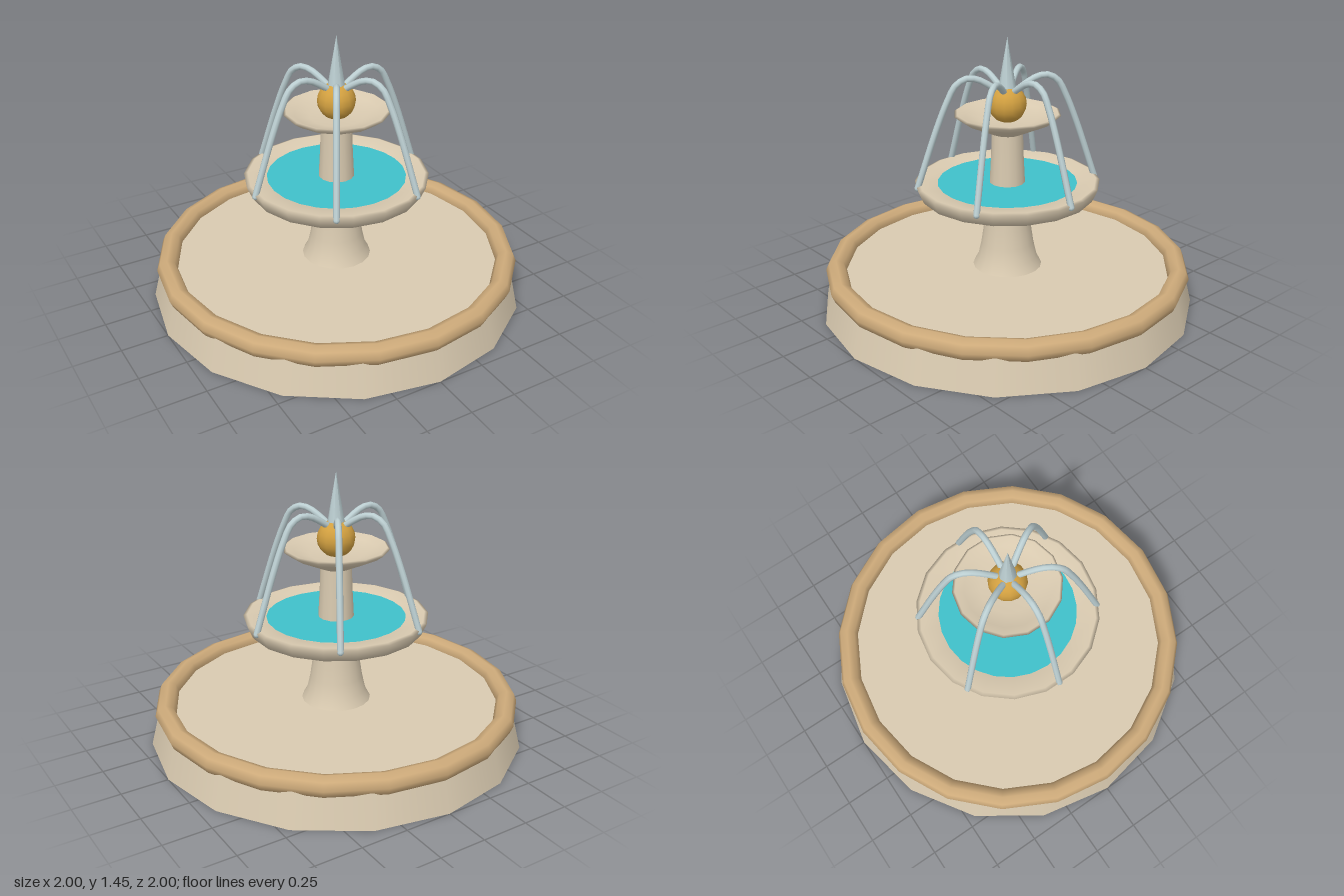
import * as THREE from 'three';

const material = (name, color) => {
  const m = new THREE.MeshStandardMaterial({ color });
  m.name = name;
  return m;
};

export function createModel() {
  const fountain = new THREE.Group();
  fountain.name = 'fountain';

  const stone = material('pale stone', 0xd9cab0);
  const trim = material('sandstone trim', 0xcdaa7a);
  const water = material('turquoise water', 0x40c0ca);
  const gold = material('gold', 0xd2a040);
  const jet = material('pale blue jet', 0xbdd0d3);

  const add = (name, geometry, mat, y = 0, parent = fountain) => {
    const mesh = new THREE.Mesh(geometry, mat);
    mesh.name = name;
    mesh.position.y = y;
    parent.add(mesh);
    return mesh;
  };
  const lathe = (points, segments) =>
    new THREE.LatheGeometry(points.map(([r, y]) => new THREE.Vector2(r, y)), segments);

  // Ground pool with a rounded rim
  add('poolBase', new THREE.CylinderGeometry(0.95, 1, 0.2, 16), stone, 0.1);
  const rim = new THREE.TorusGeometry(0.92, 0.055, 8, 20);
  rim.rotateX(Math.PI / 2);
  add('poolRim', rim, trim, 0.2);

  // Lower pedestal and bowl
  add('lowerPedestal', lathe([
    [0.19, 0.19], [0.158, 0.25], [0.14, 0.33], [0.125, 0.43], [0.114, 0.55],
  ], 18), stone);
  add('lowerBowl', lathe([
    [0, 0.53], [0.11, 0.53], [0.46, 0.615], [0.488, 0.68], [0.468, 0.687],
    [0.37, 0.67], [0.3, 0.64], [0, 0.62],
  ], 18), stone);
  const pool = new THREE.CircleGeometry(0.368, 24);
  pool.rotateX(-Math.PI / 2);
  add('lowerWater', pool, water, 0.674);

  // Upper pedestal and bowl
  add('upperPedestal', lathe([
    [0.096, 0.62], [0.093, 0.7], [0.086, 0.83], [0.082, 0.96],
  ], 14), stone);
  add('upperBowl', lathe([
    [0, 0.945], [0.082, 0.945], [0.24, 1.02], [0.278, 1.048], [0.265, 1.056],
    [0.22, 1.035], [0.14, 1.015], [0, 1.01],
  ], 14), stone);

  // Finial
  add('finialBall', new THREE.SphereGeometry(0.1, 14, 10), gold, 1.1);
  add('finialSpire', new THREE.ConeGeometry(0.048, 0.28, 8), jet, 1.31);

  // Six arching jets
  const arc = new THREE.CatmullRomCurve3([
    [0.02, 1.15], [0.09, 1.2], [0.145, 1.232], [0.205, 1.244], [0.265, 1.212],
    [0.31, 1.13], [0.37, 0.98], [0.475, 0.67],
  ].map(([x, y]) => new THREE.Vector3(x, y, 0)));
  const jetShape = new THREE.TubeGeometry(arc, 24, 0.017, 8);
  const jets = new THREE.Group();
  jets.name = 'waterJets';
  fountain.add(jets);
  // Tip cap closes the lower end of each jet
  const tip = new THREE.SphereGeometry(0.017, 8, 6);
  for (let i = 0; i < 6; i++) {
    const spray = new THREE.Group();
    spray.name = 'waterJet';
    spray.rotation.y = (i * Math.PI) / 3;
    add('jetArc', jetShape, jet, 0, spray);
    add('jetTip', tip, jet, 0.67, spray).position.x = 0.475;
    jets.add(spray);
  }

  return fountain;
}
